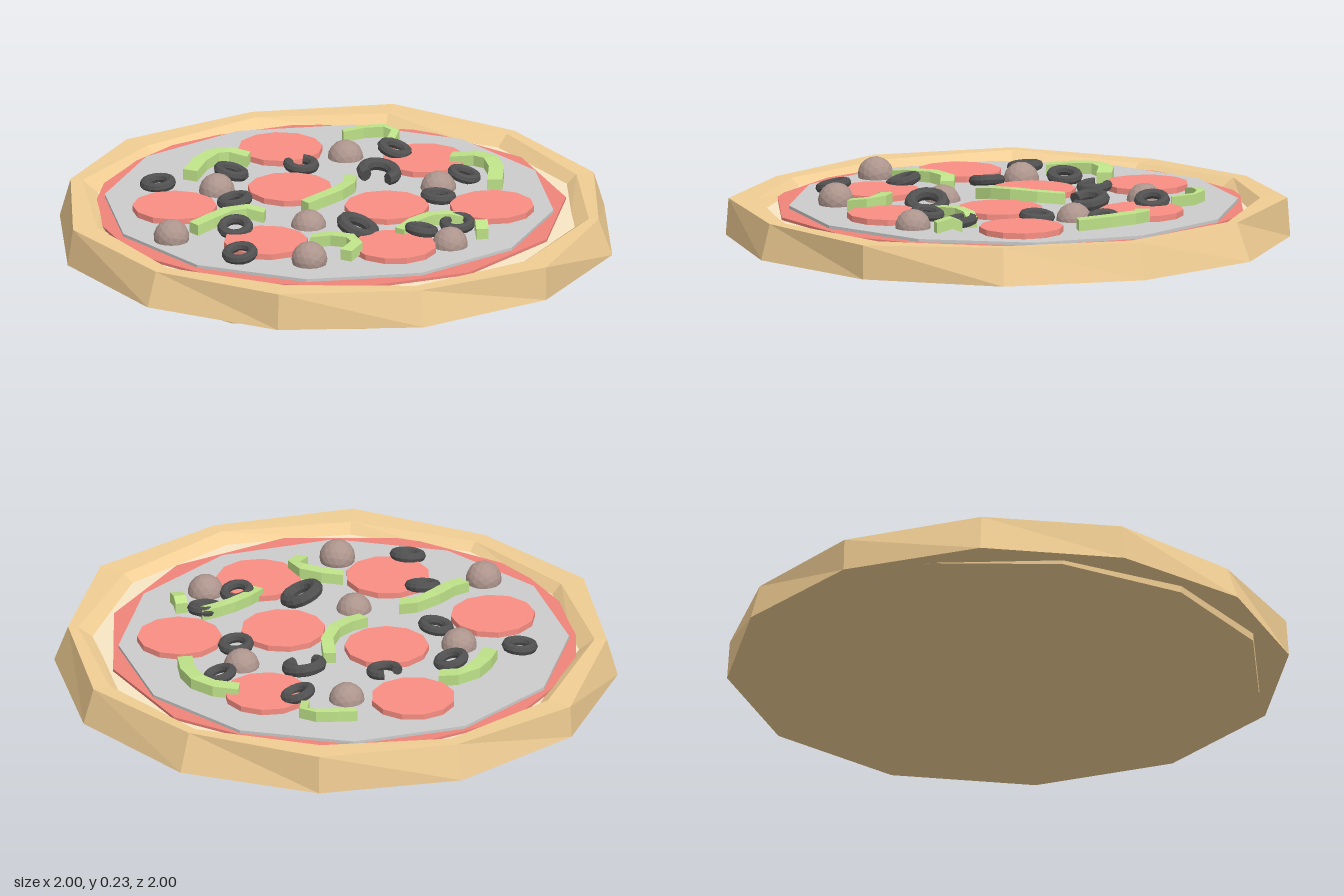
import * as THREE from 'three';

const mat = (color, flat = true) =>
  new THREE.MeshStandardMaterial({ color, flatShading: flat });
const rad = THREE.MathUtils.degToRad;

// Flat bar swept along a few [x, z] points, arched up in the middle
function strip(path, width, height, y) {
  const curve = new THREE.CatmullRomCurve3(path.map(([x, z]) => new THREE.Vector3(x, 0, z)));
  const segs = path.length;
  const geo = new THREE.BoxGeometry(1, height, width, segs);
  const p = geo.attributes.position;
  for (let i = 0; i < p.count; i++) {
    const t = THREE.MathUtils.clamp(p.getX(i) + 0.5, 0, 1);
    const c = curve.getPoint(t), d = curve.getTangent(t), w = p.getZ(i);
    p.setXYZ(i, c.x - d.z * w, y + p.getY(i) + 0.015 * Math.sin(Math.PI * t), c.z + d.x * w);
  }
  geo.computeVertexNormals();
  return geo;
}

export function createModel() {
  const pizza = new THREE.Group();
  const add = (name, geo, material, x = 0, y = 0, z = 0, parent = pizza) => {
    const m = new THREE.Mesh(geo, material);
    m.name = name;
    m.position.set(x, y, z);
    parent.add(m);
    return m;
  };
  const group = (name) => {
    const g = new THREE.Group();
    g.name = name;
    pizza.add(g);
    return g;
  };

  const crustMat = mat(0xf0cd93), doughMat = mat(0xf8e6c4), sauceMat = mat(0xf0847a);
  const cheeseMat = mat(0xcccccc), pepperoniMat = mat(0xf88e83), oliveMat = mat(0x505050);
  const meatMat = mat(0xad958d), pepperMat = mat(0xbfe389);

  // Crust: twelve-sided lathe with an uneven upper rim
  const profile = [[0, 0.03], [1.02, 0.033], [1, 0.163], [0.92, 0.162], [0.86, 0.115]]
    .map(([r, y]) => new THREE.Vector2(r, y));
  const crust = new THREE.LatheGeometry(profile, 12, rad(12));
  const rim = [1.02, 0.97, 0.98, 0.965, 1.01, 0.985, 1.015, 0.98, 1, 0.975, 1.01, 0.985];
  const lift = [-0.005, 0.004, 0, 0.008, 0.012, 0, -0.01, 0.012, 0.004, -0.005, 0.004, 0];
  const cp = crust.attributes.position;
  for (let i = 0; i < cp.count; i++) {
    const j = i % 5, k = Math.floor(i / 5) % 12;
    if (j !== 2 && j !== 3) continue;
    const s = j === 2 ? rim[k] : 1 + (rim[(k + 5) % 12] - 0.99) * 0.6;
    cp.setXYZ(i, cp.getX(i) * s, cp.getY(i) + lift[k], cp.getZ(i) * s);
  }
  add('crust', crust, crustMat);

  // Slightly tilted base that dips below the crust at one side
  const base = add('base', new THREE.CylinderGeometry(0.93, 0.93, 0.04, 12), crustMat, 0, 0.053, 0);
  base.rotation.set(rad(0.8), 0, rad(1.55));

  // Dough, sauce and cheese layers
  add('dough', new THREE.CylinderGeometry(0.91, 0.91, 0.03, 12), doughMat, 0, 0.115, 0)
    .rotation.y = rad(8);
  add('sauce', new THREE.CylinderGeometry(0.865, 0.865, 0.03, 12), sauceMat, -0.015, 0.125, -0.03);
  add('cheese', new THREE.CylinderGeometry(0.815, 0.815, 0.03, 12), cheeseMat, -0.005, 0.136, -0.035)
    .rotation.y = rad(18);

  // Pepperoni slices
  const pepperoni = group('pepperoni');
  const slice = new THREE.CylinderGeometry(0.153, 0.153, 0.035, 12);
  [[0.16, -0.56], [-0.51, -0.29], [-0.06, -0.2], [0.51, -0.16],
    [-0.46, 0.2], [0.11, 0.16], [0.42, 0.38], [-0.11, 0.51]].forEach(([x, z], i) => {
    add('pepperoniSlice', slice, pepperoniMat, x, 0.155, z, pepperoni).rotation.y = i * 0.4;
  });

  // Olive rings: x, z, height, size, tilt about x, tilt about z
  const olives = group('olives');
  const ring = new THREE.TorusGeometry(0.047, 0.019, 8, 16).rotateX(Math.PI / 2);
  [[-0.41, -0.53, 0.165, 1, 0, 0.1], [-0.14, -0.45, 0.175, 1, 0.15, -0.2],
    [-0.3, -0.21, 0.17, 1, -0.1, 0.15], [0.46, -0.27, 0.185, 1, 0.25, -0.2],
    [-0.48, 0.04, 0.18, 1, 0.2, 0.2], [-0.62, 0.26, 0.175, 1, 0.1, 0.2],
    [0.53, 0.06, 0.17, 0.95, 0.2, -0.2], [0.32, 0.19, 0.17, 1, 0, -0.1],
    [0.04, 0.47, 0.185, 0.95, 0, -0.2], [0.2, 0.47, 0.175, 1, 0.1, 0.1],
    [-0.12, 0.3, 0.18, 1.25, 0.3, -0.25]].forEach(([x, z, y, s, tx, tz]) => {
    const m = add('oliveRing', ring, oliveMat, x, y, z, olives);
    m.scale.setScalar(s);
    m.rotation.set(tx, 0, tz);
  });

  // Cut olive rings with an opening, and a cap at each end
  const arc = rad(275);
  [[0.28, -0.12, 1.25, 165, 0.2], [0.1, -0.35, 1, -45, 0.1]].forEach(([x, z, s, turn, tilt]) => {
    const cut = new THREE.Group();
    cut.name = 'cutOlive';
    add('oliveArc', new THREE.TorusGeometry(0.047, 0.019, 8, 14, arc).rotateX(Math.PI / 2),
      oliveMat, 0, 0, 0, cut);
    for (const a of [0, arc]) {
      const end = add('oliveEnd', new THREE.CircleGeometry(0.019, 8), oliveMat,
        0.047 * Math.cos(a), 0, 0.047 * Math.sin(a), cut);
      end.rotation.y = a ? -a : Math.PI;
    }
    cut.position.set(x, 0.18, z);
    cut.scale.setScalar(s);
    cut.rotation.set(tilt, rad(-turn) - rad(90), 0, 'XYZ');
    if (s === 1) cut.rotation.y = rad(45);
    else cut.rotation.y = rad(-178);
    olives.add(cut);
  });

  // Meat balls, half sunk in the cheese
  const meat = group('meatBalls');
  const ball = new THREE.IcosahedronGeometry(0.065, 2);
  [[-0.27, -0.36, 0.155], [0.32, -0.38, 0.15], [-0.7, -0.05, 0.163], [-0.21, 0.12, 0.145],
    [0.4, 0.08, 0.15], [-0.44, 0.44, 0.167], [0.08, 0.59, 0.155]].forEach(([x, z, y], i) => {
    add('meatBall', ball, meatMat, x, y, z, meat).rotation.set(i, i * 2, 0);
  });

  // Curved pepper strips: path and width
  const peppers = group('greenPeppers');
  [[[[-0.28, -0.51], [-0.17, -0.575], [-0.07, -0.59], [-0.01, -0.52]], 0.055],
    [[[0.41, -0.52], [0.5, -0.475], [0.56, -0.41], [0.49, -0.34]], 0.03],
    [[[-0.6, -0.05], [-0.5, -0.055], [-0.37, -0.07], [-0.31, -0.01]], 0.05],
    [[[-0.14, 0], [-0.04, 0], [0.07, -0.03], [0.16, -0.13]], 0.045],
    [[[0.58, -0.09], [0.655, 0], [0.64, 0.1], [0.55, 0.22]], 0.055],
    [[[-0.33, 0.3], [-0.26, 0.37], [-0.24, 0.46], [-0.32, 0.5]], 0.045],
    [[[-0.03, 0.43], [0.08, 0.4], [0.18, 0.41], [0.24, 0.45]], 0.04],
    [[[0.26, 0.53], [0.21, 0.61]], 0.045]].forEach(([path, w]) => {
    add('pepperStrip', strip(path, w, 0.04, 0.172), pepperMat, 0, 0, 0, peppers);
  });

  return pizza;
}
